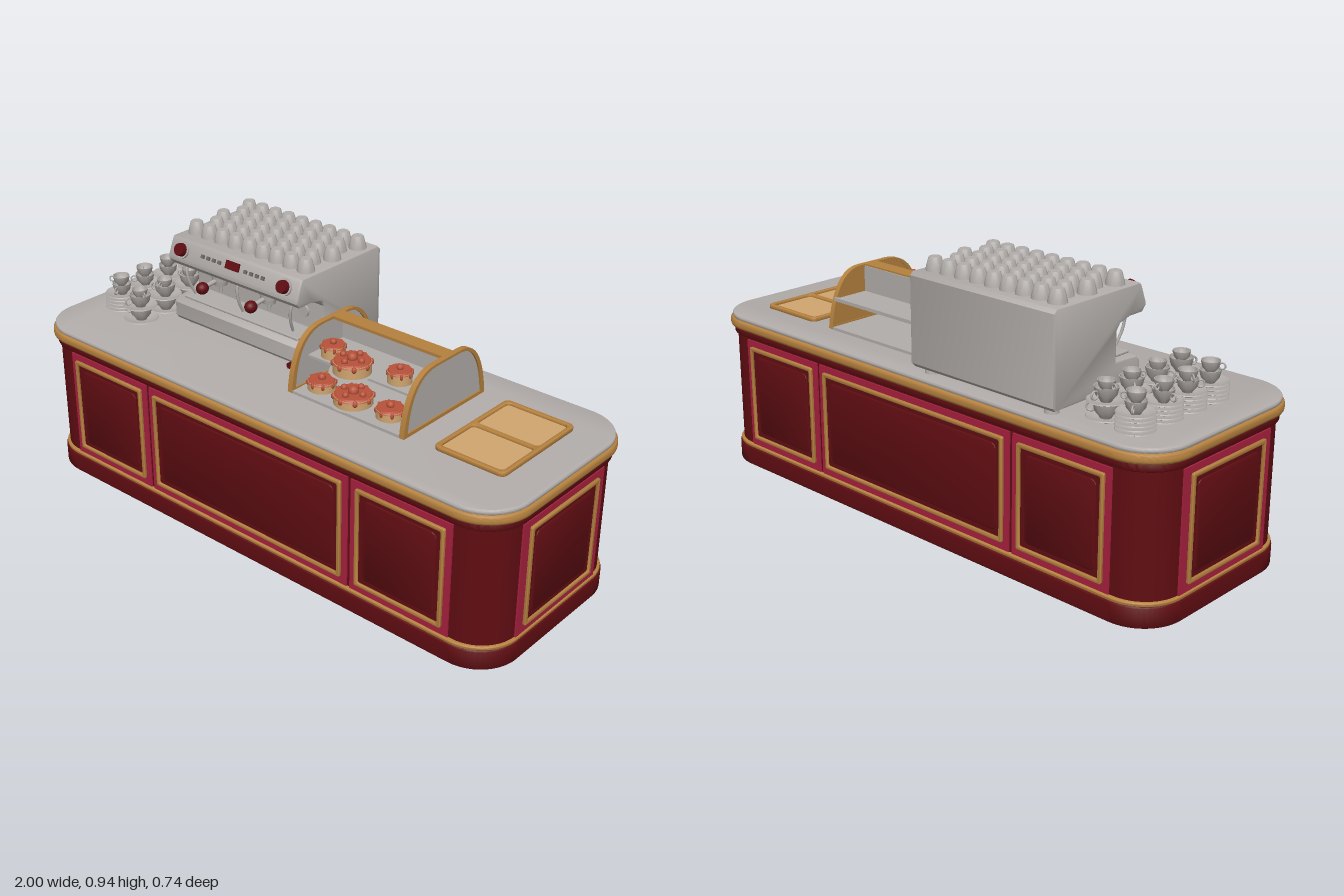
import * as THREE from 'three';
import { toCreasedNormals } from 'three/addons/utils/BufferGeometryUtils.js';
import { RoundedBoxGeometry } from 'three/addons/geometries/RoundedBoxGeometry.js';

const paint = (name, color, side = THREE.FrontSide) => {
  const m = new THREE.MeshStandardMaterial({ color, side });
  m.name = name;
  return m;
};
const darkRed = paint('dark red', 0x600d12);
const crimson = paint('crimson', 0xa8203f);
const gold = paint('gold', 0xb5813f);
const grey = paint('grey', 0xb2adaa);
const darkGrey = paint('dark grey', 0x6a6665);
const tan = paint('tan', 0xd0a670);
const berry = paint('berry', 0xb8523a);

const V2 = (x, y) => new THREE.Vector2(x, y);

export function createModel() {
  const root = new THREE.Group();

  function add(parent, name, geo, mat, x = 0, y = 0, z = 0) {
    const m = new THREE.Mesh(geo, mat);
    m.name = name;
    m.position.set(x, y, z);
    parent.add(m);
    return m;
  }
  function group(parent, name, x = 0, y = 0, z = 0) {
    const g = new THREE.Group();
    g.name = name;
    g.position.set(x, y, z);
    parent.add(g);
    return g;
  }
  const box = (w, h, d) => new THREE.BoxGeometry(w, h, d);
  const cyl = (r1, r2, h, n = 20) => new THREE.CylinderGeometry(r1, r2, h, n);
  const lathe = (pts, n = 24) => toCreasedNormals(new THREE.LatheGeometry(pts.map(p => V2(...p)), n), 0.7);

  function roundRect(w, h, r, P = THREE.Shape) {
    const s = new P(), a = w / 2, b = h / 2;
    s.absarc(a - r, b - r, r, 0, Math.PI / 2);
    s.absarc(-a + r, b - r, r, Math.PI / 2, Math.PI);
    s.absarc(-a + r, -b + r, r, Math.PI, Math.PI * 1.5);
    s.absarc(a - r, -b + r, r, Math.PI * 1.5, Math.PI * 2);
    s.closePath();
    return s;
  }
  function extrude(shape, depth, bevel = 0) {
    const geo = new THREE.ExtrudeGeometry(shape, {
      depth: depth - 2 * bevel, curveSegments: 12, bevelEnabled: bevel > 0,
      bevelSize: bevel, bevelThickness: bevel, bevelOffset: -bevel, bevelSegments: 4,
    });
    geo.translate(0, 0, bevel);
    return toCreasedNormals(geo, 0.6);
  }
  // Horizontal rounded slab between two heights
  function slab(parent, name, w, d, r, y0, y1, bevel, mat) {
    add(parent, name, extrude(roundRect(w, d, r), y1 - y0, bevel).rotateX(-Math.PI / 2), mat, 0, y0, 0);
  }
  // Side profile (z, y) swept across x
  const sweep = (shape, x0, x1, bevel = 0) =>
    extrude(shape, x1 - x0, bevel).rotateY(-Math.PI / 2).translate(x1, 0, 0);

  // Counter
  const counter = group(root, 'counter');
  slab(counter, 'plinth', 1.98, 0.72, 0.15, 0, 0.07, 0.006, darkRed);
  slab(counter, 'plinthTrim', 1.975, 0.715, 0.15, 0.068, 0.082, 0.005, gold);
  slab(counter, 'counterBody', 1.955, 0.69, 0.135, 0.08, 0.5, 0, darkRed);
  slab(counter, 'cornice', 1.975, 0.71, 0.145, 0.487, 0.516, 0.005, darkRed);
  slab(counter, 'goldRim', 2, 0.74, 0.16, 0.513, 0.547, 0.012, gold);
  slab(counter, 'worktop', 1.985, 0.725, 0.155, 0.545, 0.562, 0.006, grey);

  // Framed panel lying in front of a counter face
  function framedPanel(name, angle, offset, dist, w, backW) {
    const pivot = group(counter, name);
    pivot.rotation.y = angle;
    const g = group(pivot, name + 'Parts', offset, 0.283, dist);
    add(g, 'backing', box(backW, 0.4, 0.008), crimson, 0, -0.003, 0);
    const ring = roundRect(w, 0.35, 0.006);
    ring.holes.push(roundRect(w - 0.028, 0.322, 0.006, THREE.Path));
    add(g, 'goldFrame', extrude(ring, 0.013, 0.003), gold);
    add(g, 'panelField', box(w - 0.026, 0.324, 0.008), darkRed, 0, 0, 0.002);
    add(g, 'raisedField', extrude(roundRect(w - 0.06, 0.29, 0.02), 0.009, 0.004), darkRed);
  }
  for (const [side, a] of [['front', 0], ['back', Math.PI]]) {
    framedPanel(side + 'CentrePanel', a, 0, 0.346, 0.83, 0.875);
    for (const s of [-1, 1]) framedPanel(side + 'OuterPanel', a, s * 0.64, 0.346, 0.335, 0.38);
  }
  for (const s of [-1, 1]) framedPanel('endPanel', s * Math.PI / 2, 0, 0.979, 0.365, 0.43);

  // Espresso machine
  const machine = group(root, 'espressoMachine');
  const profile = new THREE.Shape([
    [-0.335, 0.582], [0.045, 0.582], [0.055, 0.595], [0.055, 0.645], [0.04, 0.662], [-0.06, 0.668],
    [-0.06, 0.765], [-0.045, 0.785], [0, 0.797], [0.06, 0.797], [0.075, 0.815], [0.075, 0.828],
    [0.052, 0.885], [0.045, 0.892], [-0.335, 0.892], [-0.347, 0.88], [-0.347, 0.595],
  ].map(p => V2(...p)));
  add(machine, 'machineBody', sweep(profile, -0.605, -0.012, 0.007), grey);
  add(machine, 'dripTray', new RoundedBoxGeometry(0.53, 0.01, 0.09, 2, 0.004), grey, -0.308, 0.669, -0.005);
  for (const x of [-0.56, -0.06]) for (const z of [-0.3, 0.0])
    add(machine, 'foot', cyl(0.02, 0.024, 0.03), grey, x, 0.573, z);

  // Sloped control face details
  const controls = group(machine, 'controls', -0.308, 0.857, 0.064);
  controls.rotation.x = -0.38;
  for (const x of [-0.235, 0.235]) {
    add(controls, 'dialRing', cyl(0.029, 0.029, 0.008).rotateX(Math.PI / 2), grey, x, 0, 0.002);
    add(controls, 'dial', cyl(0.021, 0.024, 0.026).rotateX(Math.PI / 2), darkRed, x, 0, 0.01);
  }
  add(controls, 'display', box(0.06, 0.028, 0.008), darkRed, 0, 0.006, 0.002);
  for (const s of [-1, 1]) for (let i = 0; i < 4; i++)
    add(controls, 'button', box(0.013, 0.012, 0.008), darkGrey, s * (0.06 + i * 0.026), 0.002, 0.002);

  // Brew groups with red handled filters
  for (const x of [-0.42, -0.195]) {
    const g = group(machine, 'brewGroup', x, 0.78, 0.01);
    add(g, 'groupHead', cyl(0.034, 0.03, 0.036), grey, 0, 0.005, 0);
    add(g, 'filterBasket', cyl(0.027, 0.022, 0.024), grey, 0, -0.02, 0);
    add(g, 'spout', cyl(0.008, 0.006, 0.03, 10), grey, 0, -0.045, 0);
    const arm = add(g, 'filterArm', cyl(0.008, 0.008, 0.07, 10).rotateX(Math.PI / 2), grey, 0, -0.014, 0.05);
    arm.rotation.x = 0.1;
    add(g, 'filterHandle', new THREE.SphereGeometry(0.021, 16, 12).scale(1, 1, 1.1), darkRed, 0, -0.018, 0.088);
  }
  // Steam wands
  for (const [x, s] of [[-0.555, 1], [-0.308, 0], [-0.06, -1]]) {
    const path = new THREE.CatmullRomCurve3([
      new THREE.Vector3(x, 0.81, 0.03), new THREE.Vector3(x + s * 0.006, 0.775, 0.045),
      new THREE.Vector3(x + s * 0.012, 0.73, 0.04), new THREE.Vector3(x + s * 0.02, 0.685, 0.02),
    ]);
    add(machine, 'steamWand', new THREE.TubeGeometry(path, 12, 0.005, 8), grey);
  }
  add(machine, 'gauge', cyl(0.022, 0.022, 0.01).rotateX(Math.PI / 2), grey, -0.1, 0.725, -0.056);
  add(machine, 'powerKnob', cyl(0.012, 0.012, 0.014).rotateX(Math.PI / 2), darkRed, -0.065, 0.572, 0.05);

  // Upturned cups stored on the machine
  const storedCup = lathe([[0.031, 0], [0.029, 0.012], [0.021, 0.042], [0.018, 0.046], [0, 0.046]], 14);
  for (let r = 0; r < 5; r++) {
    const n = r % 2 ? 8 : 9;
    for (let i = 0; i < n; i++)
      add(machine, 'storedCup', storedCup, grey, -0.308 + (i - (n - 1) / 2) * 0.0625, 0.89, -0.02 - r * 0.065);
  }

  // Cups and saucers
  const saucer = lathe([[0, 0], [0.028, 0], [0.06, 0.013], [0.058, 0.016], [0.03, 0.006], [0, 0.006]]);
  const cup = lathe([[0, 0], [0.018, 0], [0.021, 0.006], [0.034, 0.022], [0.04, 0.05], [0.037, 0.05],
    [0.031, 0.024], [0.016, 0.01], [0, 0.01]]);
  const handle = new THREE.TorusGeometry(0.013, 0.0035, 8, 16);
  function cupAt(parent, y, s, turn) {
    const g = group(parent, 'cup', 0, y, 0);
    g.scale.setScalar(s);
    g.rotation.y = turn;
    add(g, 'cupBowl', cup, grey);
    add(g, 'cupHandle', handle, grey, 0.046, 0.028, 0);
  }
  [-0.257, -0.13, -0.015, 0.097].forEach((z, k) => {
    const g = group(root, 'saucerStack', -0.835, 0.56, z);
    for (let i = 0; i < 5; i++) add(g, 'saucer', saucer, grey, 0, i * 0.013, 0);
    cupAt(g, 0.06, 0.85, 2 + k);
    cupAt(g, 0.093, 0.75, 0.6 + k);
  });
  [-0.235, -0.118, 0.004, 0.123].forEach((z, k) => {
    const g = group(root, 'cupStack', -0.71, 0.56, z);
    add(g, 'saucer', saucer, grey);
    cupAt(g, 0.008, 1, 0.4 + k);
    add(g, 'saucer', saucer, grey, 0, 0.05, 0);
    cupAt(g, 0.058, 0.95, 1.4 + k);
    cupAt(g, 0.09, 0.7, 3 + k);
  });

  // Display case
  const displayCase = group(root, 'displayCase');
  function arch(k, lift, P = THREE.Shape) {
    const p = new P(), X = z => (z + 0.028) * k - 0.028, Y = y => 0.565 + lift + (y - 0.565) * (k - lift);
    p.moveTo(X(0.18), Y(0.565));
    p.bezierCurveTo(X(0.17), Y(0.68), X(0.13), Y(0.765), X(0.03), Y(0.765));
    p.lineTo(X(-0.1), Y(0.765));
    p.bezierCurveTo(X(-0.19), Y(0.765), X(-0.225), Y(0.66), X(-0.235), Y(0.565));
    p.closePath();
    return p;
  }
  const rim = arch(1, 0);
  rim.holes.push(arch(0.91, 0.012, THREE.Path));
  for (const x of [0.045, 0.5]) {
    add(displayCase, 'sidePanel', sweep(arch(0.97, 0.004), x + 0.002, x + 0.009), grey);
    add(displayCase, 'sideRim', sweep(rim, x - 0.004, x + 0.015), gold);
  }
  add(displayCase, 'innerLining', sweep(arch(0.95, 0.006), 0.498, 0.501), gold);
  add(displayCase, 'caseFloor', box(0.46, 0.01, 0.41), grey, 0.278, 0.567, -0.028);
  add(displayCase, 'shelf', box(0.45, 0.008, 0.31), grey, 0.278, 0.665, -0.06);
  add(displayCase, 'topBar', box(0.45, 0.01, 0.055), gold, 0.278, 0.76, -0.05);
  add(displayCase, 'upperBack', box(0.45, 0.095, 0.006), grey, 0.278, 0.712, -0.078);
  add(displayCase, 'rearRail', box(0.45, 0.012, 0.012), grey, 0.278, 0.667, -0.212);

  // Cakes: plate, sponge, icing and berries
  const round = new THREE.SphereGeometry(1, 12, 8);
  function cake(x, y, z, r, h) {
    const g = group(displayCase, 'cake', x, y, z);
    add(g, 'cakePlate', cyl(r * 1.2, r * 0.7, 0.01), grey, 0, 0.005, 0);
    add(g, 'sponge', cyl(r, r, h, 24), tan, 0, 0.01 + h / 2, 0);
    add(g, 'icing', cyl(r * 0.9, r * 1.04, 0.01, 24), berry, 0, 0.01 + h, 0);
    for (let i = 0; i < 8; i++) {
      const a = i * Math.PI / 4;
      const drip = add(g, 'icingDrip', round, berry, Math.cos(a) * r * 0.97, 0.004 + h, Math.sin(a) * r * 0.97);
      drip.scale.set(r * 0.13, 0.011, r * 0.13);
      if (i % 2 || r < 0.05) continue;
      add(g, 'berry', round, berry, Math.cos(a) * r * 0.6, 0.019 + h, Math.sin(a) * r * 0.6).scale.setScalar(0.011);
    }
    add(g, 'topBerry', round, berry, 0, 0.02 + h, 0).scale.setScalar(r * 0.28);
  }
  cake(0.13, 0.669, 0.06, 0.04, 0.038);
  cake(0.255, 0.676, 0.115, 0.062, 0.038);
  cake(0.4, 0.669, 0.06, 0.04, 0.038);
  add(displayCase, 'cakeStand', cyl(0.02, 0.035, 0.012), grey, 0.255, 0.672, 0.09);
  cake(0.13, 0.572, 0.115, 0.046, 0.03);
  cake(0.265, 0.572, 0.12, 0.064, 0.03);
  cake(0.41, 0.572, 0.115, 0.046, 0.03);

  // Two-part serving tray
  const tray = group(root, 'servingTray', 0.737, 0.56, -0.033);
  const edge = roundRect(0.255, 0.385, 0.02);
  for (const s of [-1, 1]) {
    const hole = new THREE.Path(roundRect(0.225, 0.168, 0.015).getPoints(6).map(p => V2(p.x, p.y + s * 0.092)));
    edge.holes.push(hole);
  }
  add(tray, 'trayRim', extrude(edge, 0.016, 0.003).rotateX(-Math.PI / 2), gold);
  add(tray, 'trayFloor', box(0.24, 0.006, 0.37), tan, 0, 0.004, 0);

  return root;
}
